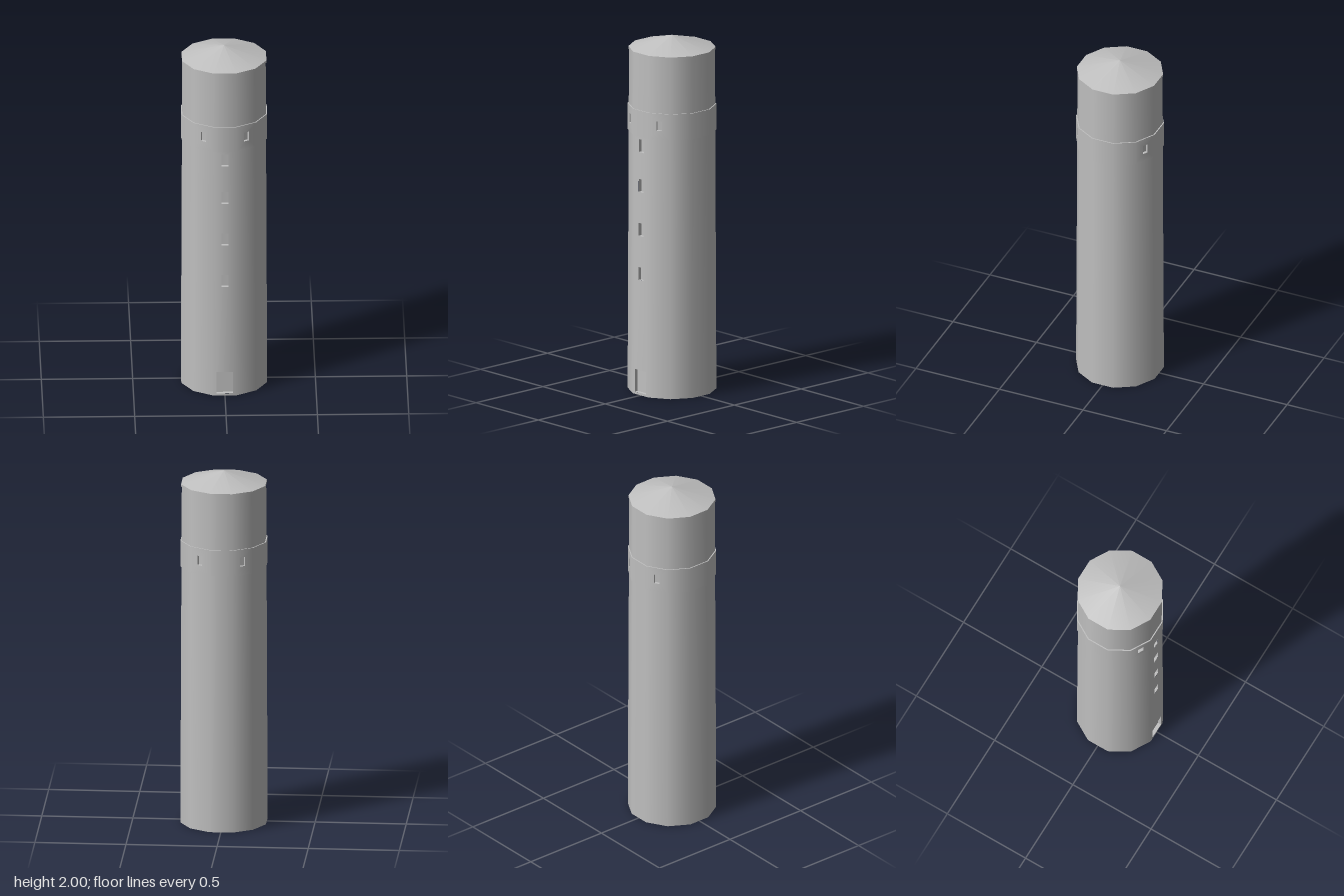
import * as THREE from 'three';
import { mergeGeometries } from 'three/addons/utils/BufferGeometryUtils.js';

const SIDES = 12;
const STEP = (Math.PI * 2) / SIDES;
const HALF = STEP / 2;
const corner = (apothem) => apothem / Math.cos(HALF); // flat-to-centre distance -> corner radius

const stone = new THREE.MeshStandardMaterial({ color: 0xc0c0c0 });
stone.name = 'stone';

// Twelve-sided smooth wall; holes: [{ facet, y0, y1, w }] cut rectangles into a facet
function wallGeometry(y0, y1, a0, a1, holes = []) {
  const apothem = (y) => a0 + ((a1 - a0) * (y - y0)) / (y1 - y0);
  const facets = [];
  for (let k = 0; k < SIDES; k++) {
    const b = a0 * Math.tan(HALF), t = a1 * Math.tan(HALF);
    const shape = new THREE.Shape();
    shape.moveTo(-b, y0).lineTo(b, y0).lineTo(t, y1).lineTo(-t, y1).closePath();
    for (const h of holes.filter((o) => o.facet === k)) {
      const path = new THREE.Path();
      path.moveTo(-h.w / 2, h.y0).lineTo(-h.w / 2, h.y1).lineTo(h.w / 2, h.y1).lineTo(h.w / 2, h.y0).closePath();
      shape.holes.push(path);
    }
    const geo = new THREE.ShapeGeometry(shape);
    const p = geo.attributes.position, n = geo.attributes.normal;
    for (let i = 0; i < p.count; i++) {
      const a = apothem(p.getY(i));
      const turn = (p.getX(i) / (a * Math.tan(HALF))) * HALF;
      p.setZ(i, a);
      n.setXYZ(i, Math.sin(turn), 0, Math.cos(turn));
    }
    geo.rotateY(k * STEP);
    facets.push(geo);
  }
  return mergeGeometries(facets);
}

// Inward-facing box without its front, set behind a hole
function recessGeometry({ facet, y0, y1, w }, front, depth) {
  const box = new THREE.BoxGeometry(w, y1 - y0, depth);
  const index = Array.from(box.index.array).filter((_, i) => i < 24 || i >= 30);
  box.setIndex(index.reverse());
  box.clearGroups();
  box.translate(0, (y0 + y1) / 2, front - depth / 2);
  box.rotateY(facet * STEP);
  const geo = box.toNonIndexed();
  geo.computeVertexNormals();
  return geo;
}

// Flat twelve-sided lip or cap
function lipGeometry(inner, outer, y, up) {
  const geo = inner > 0
    ? new THREE.RingGeometry(corner(inner), corner(outer), SIDES, 1, HALF)
    : new THREE.CircleGeometry(corner(outer), SIDES, HALF);
  return geo.rotateX(up ? -Math.PI / 2 : Math.PI / 2).translate(0, y, 0);
}

export function createModel() {
  const tower = new THREE.Group();
  tower.name = 'tower';
  const add = (name, geo) => {
    const mesh = new THREE.Mesh(geo, stone);
    mesh.name = name;
    tower.add(mesh);
  };

  // Shaft with door and a column of stair windows
  const door = { facet: 0, y0: 0.013, y1: 0.141, w: 0.09 };
  const stairs = [0.65, 0.9, 1.149, 1.374].map((y) => ({ facet: 0, y0: y, y1: y + 0.073, w: 0.04 }));
  const shaftTop = 1.465, shaftBase = 0.235, shaftNeck = 0.229;
  const shaftAt = (y) => shaftBase + ((shaftNeck - shaftBase) * y) / shaftTop;
  add('shaft', wallGeometry(0, shaftTop, shaftBase, shaftNeck, [door, ...stairs]));
  add('base', lipGeometry(0, shaftBase, 0, false));
  add('doorRecess', recessGeometry(door, shaftAt(door.y1), 0.02));
  stairs.forEach((s) => add('stairWindow', recessGeometry(s, shaftAt(s.y1), 0.02)));

  // Projecting band with four lookout windows
  const lookouts = [1, 5, 7, 11].map((facet) => ({ facet, y0: 1.515, y1: 1.568, w: 0.032 }));
  add('band', wallGeometry(shaftTop, 1.612, 0.235, 0.235, lookouts));
  add('bandUnderside', lipGeometry(shaftNeck, 0.235, shaftTop, false));
  add('bandTop', lipGeometry(0.229, 0.235, 1.612, true));
  lookouts.forEach((l) => add('lookoutWindow', recessGeometry(l, 0.235, 0.016)));

  // Upper drum, eave and shallow roof
  add('drum', wallGeometry(1.612, 1.92, 0.229, 0.227));
  add('eaveUnderside', lipGeometry(0.227, 0.231, 1.92, false));
  add('eave', wallGeometry(1.92, 1.934, 0.231, 0.231));
  const roof = new THREE.ConeGeometry(corner(0.231), 0.066, SIDES, 1, true, HALF);
  add('roof', roof.translate(0, 1.967, 0));

  return tower;
}
